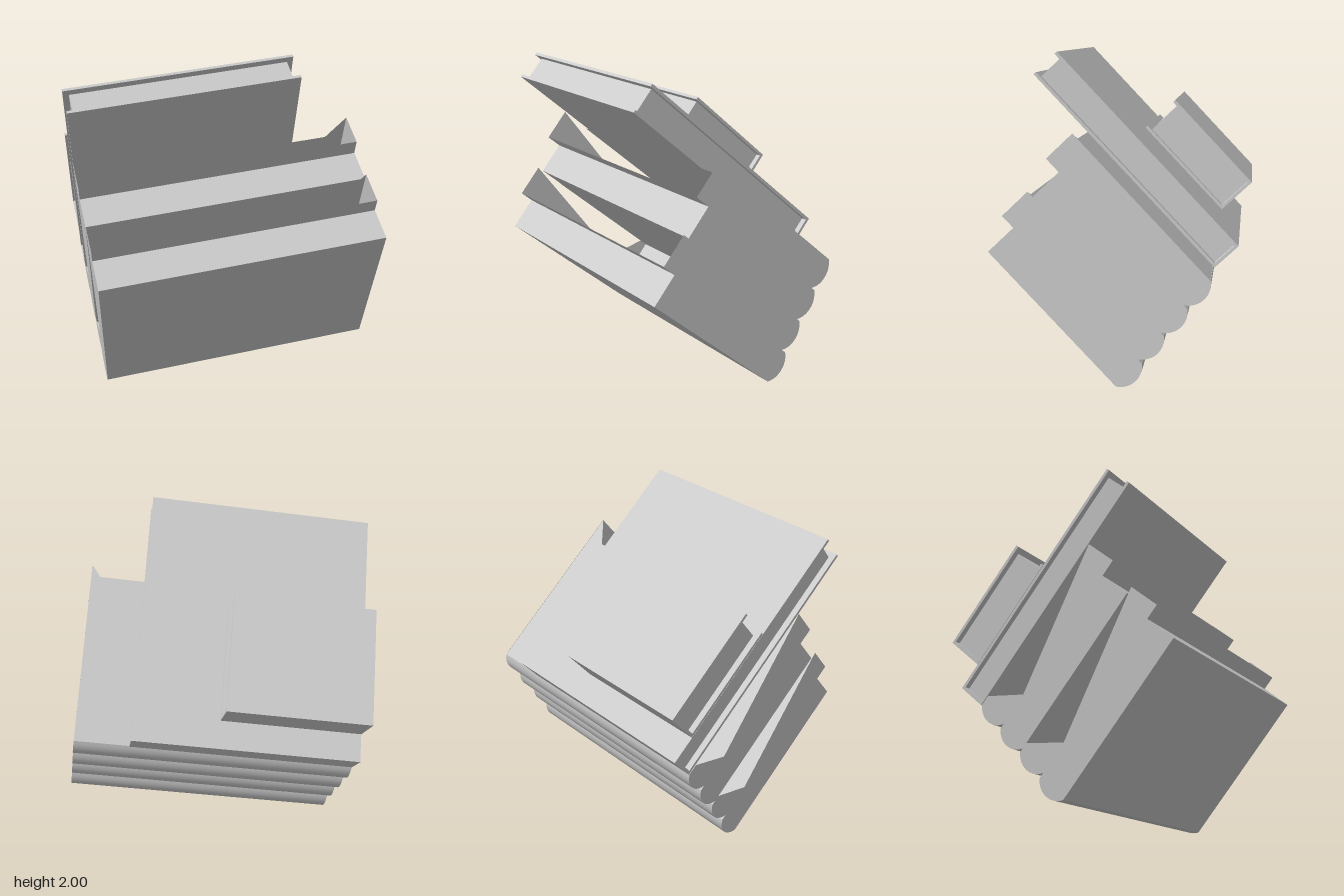
import * as THREE from 'three';
import { toCreasedNormals } from 'three/addons/utils/BufferGeometryUtils.js';

const LENGTH = 1.655; // spine length of the large books
const T = 0.2;        // thickness of the large books

export function createModel() {
  const model = new THREE.Group();
  model.name = 'bookStack';
  const grey = new THREE.MeshStandardMaterial({ color: 0xcccccc, side: THREE.DoubleSide });
  grey.name = 'plainGrey';

  // Tilted frame: x = spine to fore edge, y = along the spine, z = up the stack
  const stack = new THREE.Group();
  stack.name = 'tiltedStack';
  const along = new THREE.Vector3(0.9895, 0.144, -0.012).normalize();
  const across = new THREE.Vector3(-0.097, 0.706, 0.701);
  across.addScaledVector(along, -across.dot(along)).normalize();
  const up = new THREE.Vector3().crossVectors(across, along);
  const m = new THREE.Matrix4().makeBasis(across, along, up).setPosition(-0.69, 0, 0);
  m.decompose(stack.position, stack.quaternion, stack.scale);
  model.add(stack);

  const add = (parent, name, geometry) => {
    const mesh = new THREE.Mesh(geometry, grey);
    mesh.name = name;
    parent.add(mesh);
  };
  const group = (name) => {
    const g = new THREE.Group();
    g.name = name;
    stack.add(g);
    return g;
  };
  const polygon = (points) => new THREE.Shape(points.map(([x, y]) => new THREE.Vector2(x, y)));

  // Cross-section with a rounded spine at v0 and a flat fore edge at v1
  const section = (v0, v1) => {
    const bulge = 0.05, h = T / 2;
    const r = (h * h + bulge * bulge) / (2 * bulge);
    const a = Math.asin(h / r);
    const points = [[v1, 0], [v1, T]];
    for (let i = 0; i <= 12; i++) {
      const t = a - (2 * a * i) / 12;
      points.push([v0 - bulge + r - r * Math.cos(t), h + r * Math.sin(t)]);
    }
    return polygon(points);
  };
  const extrudeAlongSpine = (shape, w) => {
    const g = new THREE.ExtrudeGeometry(shape, { depth: LENGTH, bevelEnabled: false });
    g.rotateX(Math.PI / 2).translate(0, LENGTH, w);
    return toCreasedNormals(g, 0.4);
  };
  const endPanel = (points, u, w) =>
    new THREE.ShapeGeometry(polygon(points)).rotateX(Math.PI / 2).translate(0, u, w);
  const flatPanel = (points, w) => new THREE.ShapeGeometry(polygon(points)).translate(0, 0, w);

  // Solid book
  const solidBook = (name, v0, v1, w) =>
    add(group(name), 'block', extrudeAlongSpine(section(v0, v1), w));

  // Hollow book, open at the fore edge and torn at one end
  const hollowBook = (name, v0, v1, w) => {
    const g = group(name);
    add(g, 'spine', extrudeAlongSpine(section(v0, v0 + 0.004), w));
    add(g, 'bottomPanel', flatPanel([[v0, 0], [v1, 0], [v1, LENGTH], [v0, LENGTH]], w + 0.002));
    add(g, 'topPanel', flatPanel([
      [v0, 0], [v1 - 0.2, 0], [v1 - 0.15, 1.15], [v1 - 0.15, 1.54], [v1, LENGTH], [v0, LENGTH],
    ], w + T - 0.002));
    add(g, 'leftEnd', endPanel([[v0, 0], [v1, 0], [v1, T], [v0, T]], LENGTH, w));
    add(g, 'rightEndSpineSide', endPanel([[v0, 0], [v0 + 0.2, 0], [v0 + 0.06, T], [v0, T]], 0, w));
    add(g, 'rightEndForeSide', endPanel([[v0 + 0.2, 0], [v1, 0], [v1, T]], 0, w));
  };

  // Book with thin covers, a flat spine and inset pages
  const coveredBook = (name, v0, v1, length, w0, w1, inset) => {
    const g = group(name);
    const c = 0.018;
    const box = (part, a, b, u0, u1, z0, z1) => add(g, part,
      new THREE.BoxGeometry(b - a, u1 - u0, z1 - z0)
        .translate((a + b) / 2, (u0 + u1) / 2, (z0 + z1) / 2));
    box('lowerCover', v0, v1, 0, length, w0, w0 + c);
    box('upperCover', v0, v1, 0, length, w1 - c, w1);
    box('spine', v0, v0 + c, 0, length, w0 + c, w1 - c);
    box('pages', v0 + c, v1 - inset, inset, length - inset, w0 + c, w1 - c);
  };

  solidBook('bottomBook', 0, 1.03, 0);
  hollowBook('secondBook', 0.035, 1.12, T);
  solidBook('thirdBook', 0.06, 1.08, 2 * T);
  hollowBook('fourthBook', 0.09, 1.18, 3 * T);
  coveredBook('fifthBook', 0.085, 1.585, 1.332, 0.805, 0.99, 0.035);
  coveredBook('topBook', 0.25, 0.935, 0.832, 0.992, 1.24, 0.035);

  return model;
}
